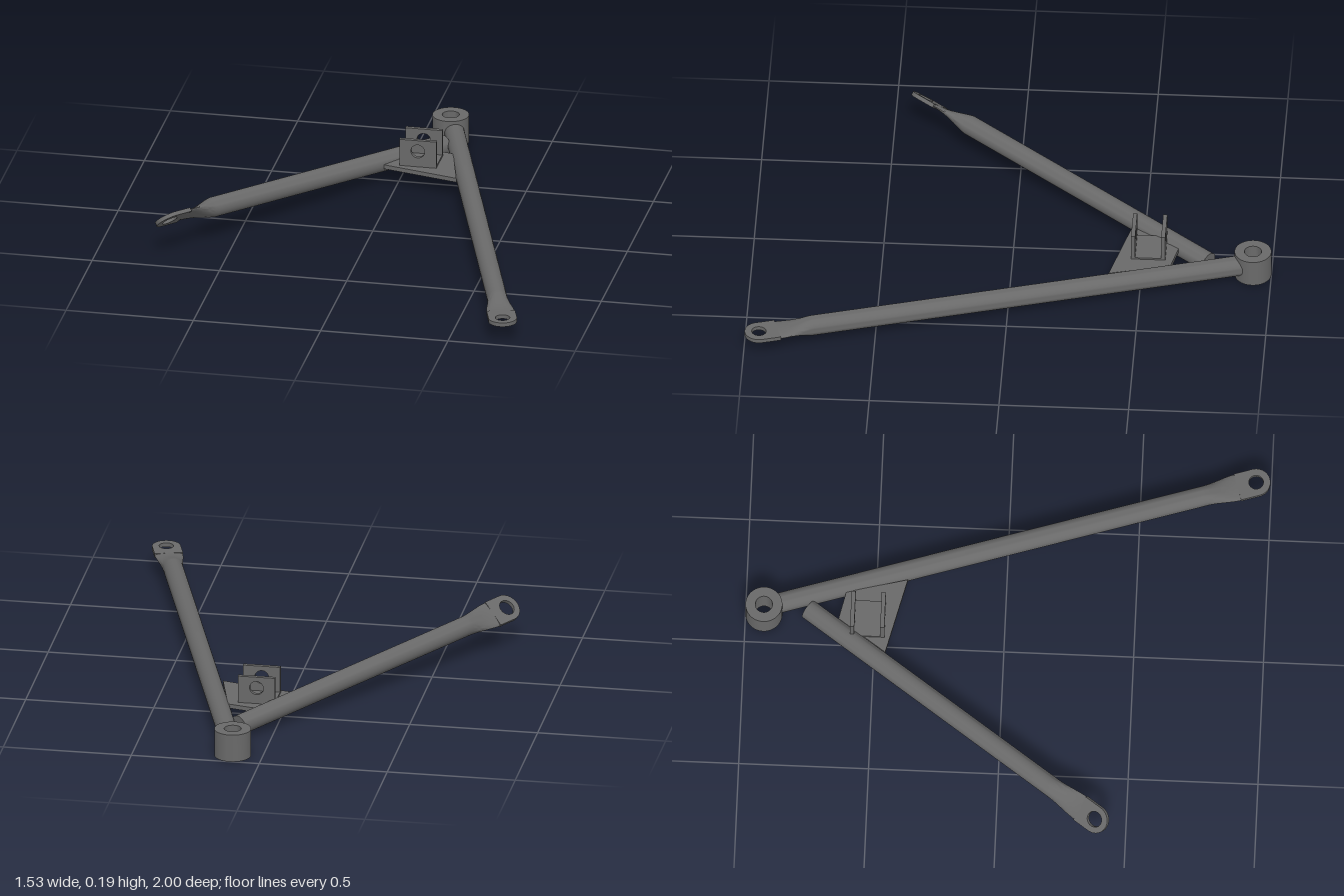
import * as THREE from 'three';
import { toCreasedNormals } from 'three/addons/utils/BufferGeometryUtils.js';

const steel = new THREE.MeshStandardMaterial({ color: 0x696969 });
steel.name = 'dark steel';

const R = 0.039;      // tube radius
const TAB_R = 0.055;  // half width of a flattened end
const TAB_T = 0.016;  // thickness of a flattened end

function part(name, geometry, parent) {
  const mesh = new THREE.Mesh(geometry, steel);
  mesh.name = name;
  parent.add(mesh);
  return mesh;
}

function circleHole(x, y, r) {
  const hole = new THREE.Path();
  hole.absarc(x, y, r, 0, Math.PI * 2, true);
  return hole;
}

function plate(shape, depth) {
  return new THREE.ExtrudeGeometry(shape, { depth, bevelEnabled: false, curveSegments: 24 });
}

// Tube along +x, pressed flat between distances t0 and t1
function pressedTube(t0, t1) {
  const sides = 32, steps = 10;
  const sections = [[0, R, R]];
  for (let i = 0; i <= steps; i++) {
    const u = i / steps, s = u * u * (3 - 2 * u);
    sections.push([
      t0 + (t1 - t0) * u,
      R + (TAB_R - R) * s,
      R + (TAB_T / 2 - R) * Math.sin(u * Math.PI / 2) ** 1.3,
    ]);
  }
  const pos = [], index = [];
  for (const [t, w, h] of sections) {
    for (let j = 0; j < sides; j++) {
      const a = j / sides * Math.PI * 2;
      pos.push(t, h * Math.sin(a), w * Math.cos(a));
    }
  }
  for (let i = 0; i < sections.length - 1; i++) {
    for (let j = 0; j < sides; j++) {
      const k = (j + 1) % sides, a = i * sides, b = a + sides;
      index.push(a + j, b + j, a + k, b + j, b + k, a + k);
    }
  }
  // Flat cut at the start
  for (let j = 1; j < sides - 1; j++) index.push(0, j, j + 1);
  const g = new THREE.BufferGeometry();
  g.setAttribute('position', new THREE.Float32BufferAttribute(pos, 3));
  g.setIndex(index);
  return toCreasedNormals(g, 0.7);
}

// Tube with a drilled, rounded tab whose hole sits at "to"
function arm(name, from, to, roll, pressStart, holeR) {
  const group = new THREE.Group();
  group.name = name;
  const axis = to.clone().sub(from);
  const length = axis.length();
  axis.normalize();
  const side = axis.clone().cross(new THREE.Vector3(0, 1, 0)).normalize();
  const up = side.clone().cross(axis);
  group.quaternion.setFromRotationMatrix(new THREE.Matrix4().makeBasis(axis, up, side));
  group.rotateX(roll);
  group.position.copy(from);

  const tabStart = length - 0.07;
  part('tube', pressedTube(length - pressStart, tabStart), group);

  const shape = new THREE.Shape();
  shape.moveTo(tabStart - 0.004, -TAB_R);
  shape.lineTo(length, -TAB_R);
  shape.absarc(length, 0, TAB_R, -Math.PI / 2, Math.PI / 2, false);
  shape.lineTo(tabStart - 0.004, TAB_R);
  shape.holes.push(circleHole(length, 0, holeR));
  const g = plate(shape, TAB_T);
  g.translate(0, 0, -TAB_T / 2);
  g.rotateX(Math.PI / 2);
  part('mountingTab', g, group);
  return group;
}

export function createModel() {
  const model = new THREE.Group();
  model.name = 'controlArm';

  // Two converging tubes
  model.add(arm('longArm', new THREE.Vector3(0.14, 0.058, -0.88),
    new THREE.Vector3(0.703, 0.083, 0.942), 0, 0.21, 0.028));
  model.add(arm('shortArm', new THREE.Vector3(0.123, 0.055, -0.758),
    new THREE.Vector3(-0.722, 0.149, 0.383), 0.72, 0.225, 0.031));

  // Bushing sleeve at the apex
  const ring = new THREE.Shape();
  ring.absarc(0, 0, 0.071, 0, Math.PI * 2, false);
  ring.holes.push(circleHole(0, 0, 0.033));
  const sleeve = plate(ring, 0.11);
  sleeve.rotateX(-Math.PI / 2);
  part('bushingSleeve', toCreasedNormals(sleeve, 0.7), model)
    .position.set(0.116, 0, -0.929);

  // Gusset plate between the tubes
  const outline = [[-0.05, -0.455], [0.25, -0.38], [0.19, -0.615], [0.08, -0.64]];
  const gusset = plate(new THREE.Shape(outline.map(([x, z]) => new THREE.Vector2(x, -z))), 0.017);
  gusset.rotateX(-Math.PI / 2);
  part('gussetPlate', gusset, model).position.y = 0.066;

  // Bracket with two drilled ears
  const bracket = new THREE.Group();
  bracket.name = 'bracket';
  model.add(bracket);
  const ear = new THREE.Shape();
  ear.moveTo(0.01, 0.07);
  ear.lineTo(0.155, 0.07);
  ear.lineTo(0.155, 0.192);
  ear.lineTo(0.01, 0.192);
  ear.holes.push(circleHole(0.082, 0.147, 0.027));
  for (const z of [-0.593, -0.477]) {
    part('bracketEar', plate(ear, 0.016), bracket).position.z = z;
  }
  part('bracketBase', new THREE.BoxGeometry(0.145, 0.014, 0.12), bracket)
    .position.set(0.0825, 0.083, -0.527);

  return model;
}
